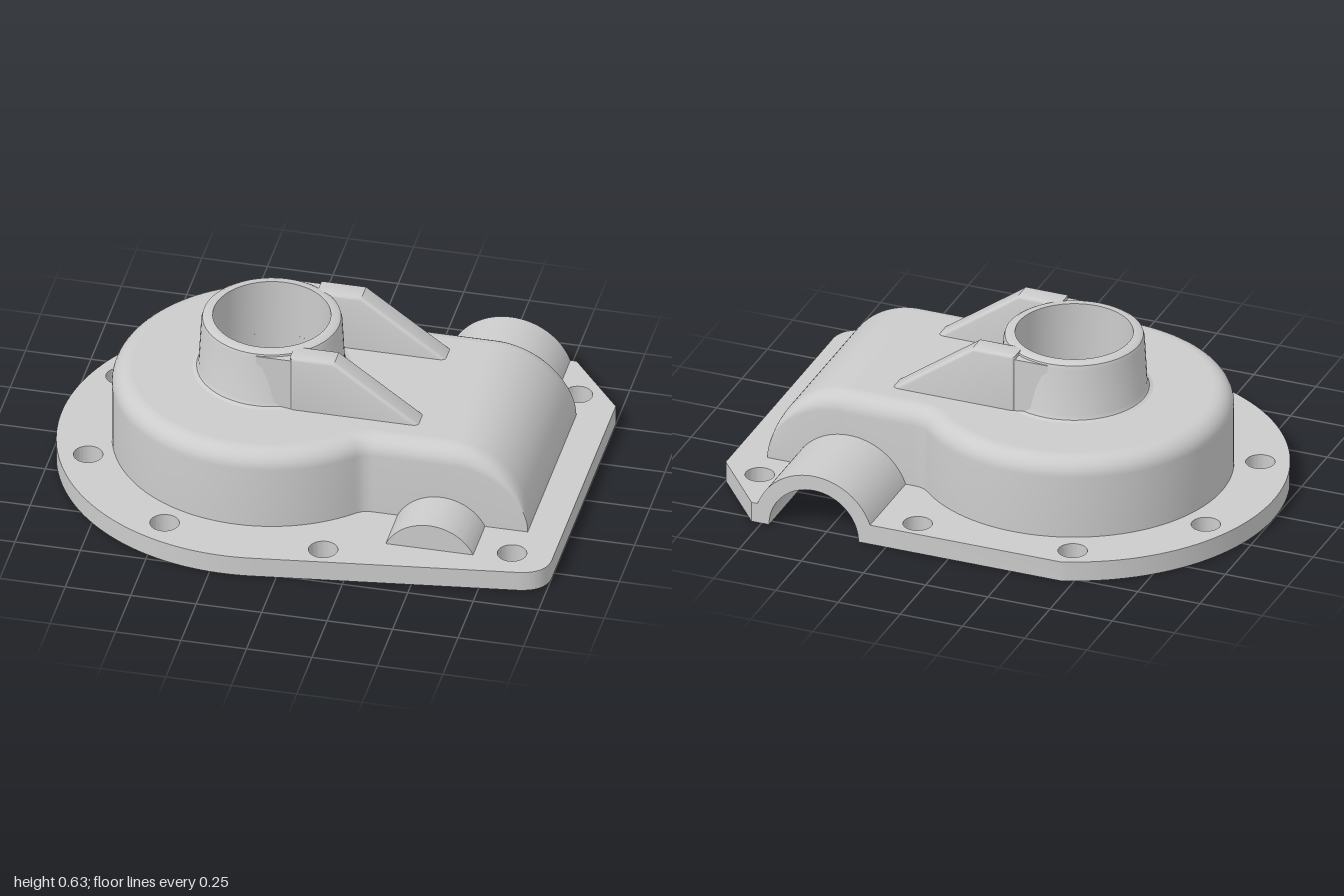
import * as THREE from 'three';
import { toCreasedNormals } from 'three/addons/utils/BufferGeometryUtils.js';

const CX = -0.2, CZ = -0.03;          // centre of the round chamber
const R = 0.595, HALF = 0.4, NECK = 0.08; // chamber radius, gear box half width, neck fillet
const END = 0.57, ENDR = 0.3;         // where the gear box starts to curve down
const WALL = 0.07, TOP = 0.4, BASE = 0.08, BORE = 0.22;
const SHAFT = 0.54, BACK_BORE = 0.18, FRONT_BORE = 0.12;

const mat = new THREE.MeshStandardMaterial({ color: 0xcccccc });
const shellMat = new THREE.MeshStandardMaterial({ color: 0xcccccc, side: THREE.DoubleSide });

function add(group, name, geo, material = mat) {
  const mesh = new THREE.Mesh(toCreasedNormals(geo, 0.6), material);
  mesh.name = name;
  group.add(mesh);
  return mesh;
}

// Plan outline of the housing (x, z), inset by d, from the front of the
// gear box round the chamber to the back of the gear box.
function outline(d) {
  const u = Math.sqrt((R + NECK) ** 2 - (HALF + NECK) ** 2), v = HALF + NECK;
  const phi = Math.atan2(v, u);
  const half = [];
  for (let i = 0; i < 24; i++) half.push([END - CX + (u - END + CX) * i / 24, HALF - d]);
  for (let i = 0; i < 10; i++) {
    const a = 1.5 * Math.PI + (phi - Math.PI / 2) * i / 10;
    half.push([u + (NECK + d) * Math.cos(a), v + (NECK + d) * Math.sin(a)]);
  }
  for (let i = 0; i < 40; i++) {
    const a = phi + (Math.PI - phi) * i / 40;
    half.push([(R - d) * Math.cos(a), (R - d) * Math.sin(a)]);
  }
  const other = half.map(([x, z]) => [x, -z]).reverse();
  return [...half, [d - R, 0], ...other].map(([x, z]) => new THREE.Vector2(CX + x, CZ + z));
}

// Height of the shaft bore where it passes through a housing wall
function arch(x, z) {
  const r = z > CZ ? FRONT_BORE : BACK_BORE;
  return Math.sqrt(Math.max(0, r * r - (x - SHAFT) ** 2));
}

// Surface through a grid of points
function grid(rows, flip) {
  const n = rows[0].length, index = [];
  for (let i = 0; i < rows.length - 1; i++) {
    for (let j = 0; j < n - 1; j++) {
      const a = i * n + j, b = a + n, c = b + 1, d = a + 1;
      index.push(...(flip ? [a, c, b, a, d, c] : [a, b, c, a, c, d]));
    }
  }
  const geo = new THREE.BufferGeometry().setFromPoints(rows.flat());
  geo.setIndex(index);
  return geo;
}

// Side wall and curved end of the housing from a profile of [inset, height]
function shell(group, name, profile, base, endRadius, flip) {
  const low = (i, x, y, z) => new THREE.Vector3(x, i === 0 ? Math.max(y, arch(x, z)) : y, z);
  const wall = profile.map(([d, y], i) => outline(d).map(p => low(i, p.x, y, p.y)));
  add(group, name + 'Wall', grid(wall, flip), shellMat);
  const end = [];
  for (let k = 0; k <= 28; k++) {
    const a = k / 28 * Math.PI / 2, x = END + endRadius * Math.sin(a);
    const side = s => profile.map(([d, y], i) =>
      low(i, x, base + (y - base) * Math.cos(a), CZ + s * (HALF - d)));
    end.push([...side(1), ...side(-1).reverse()]);
  }
  add(group, name + 'CurvedEnd', grid(end, flip), shellMat);
}

// Flat plate from a plan shape
function plate(shape, y0, y1) {
  return new THREE.ExtrudeGeometry(shape, { depth: y1 - y0, bevelEnabled: false, curveSegments: 40 })
    .rotateX(Math.PI / 2).translate(0, y1, 0);
}

function hole(x, z, r) {
  return new THREE.Path().absarc(x, z, r, 0, Math.PI * 2, true);
}

function halfRing(outer, inner, z0, z1) {
  const s = new THREE.Shape().absarc(0, 0, outer, 0, Math.PI, false);
  if (inner) s.lineTo(-inner, 0).absarc(0, 0, inner, Math.PI, 0, true);
  s.closePath();
  return new THREE.ExtrudeGeometry(s, { depth: z1 - z0, bevelEnabled: false, curveSegments: 32 })
    .translate(SHAFT, 0, z0);
}

export function createModel() {
  const group = new THREE.Group();
  group.name = 'gearHousingCover';

  // Flange: outer edge, shaft slot, cavity edge and shaft pocket in one contour
  const zf = CZ + HALF - WALL, zb = CZ - HALF + WALL, xe = END + ENDR - WALL;
  const flange = new THREE.Shape();
  flange.absarc(-0.2, -0.02, 0.8, 1.436, 4.395, false);
  flange.lineTo(SHAFT - 0.2, -0.78);
  flange.lineTo(SHAFT - 0.2, zb);
  outline(WALL).reverse().filter(p => p.x < SHAFT - 0.21).forEach(p => flange.lineTo(p.x, p.y));
  [[0.4, zf], [0.4, 0.5], [0.68, 0.5], [0.68, zf], [xe, zf], [xe, zb],
    [0.74, zb], [0.74, -0.78], [0.79, -0.78], [1, -0.52], [1, 0.53]]
    .forEach(([x, z]) => flange.lineTo(x, z));
  flange.quadraticCurveTo(1, 0.627, 0.89, 0.642);
  flange.closePath();
  [[-0.46, -0.68], [0.155, -0.7], [0.845, -0.565], [-0.84, -0.3],
    [-0.84, 0.235], [-0.46, 0.615], [0.155, 0.655], [0.845, 0.52]]
    .forEach(([x, z]) => flange.holes.push(hole(x, z, 0.055)));
  add(group, 'flange', plate(flange, 0, BASE));

  // Housing: outer skin with rounded top edge, inner skin, and roof plate
  const outer = [[0, BASE]];
  for (let i = 0; i <= 8; i++) {
    const a = i / 8 * Math.PI / 2;
    outer.push([WALL * (1 - Math.cos(a)), TOP - WALL + WALL * Math.sin(a)]);
  }
  shell(group, 'outer', outer, BASE, ENDR, false);
  shell(group, 'inner', [[WALL, 0], [WALL, TOP - WALL]], 0, ENDR - WALL, true);
  const roof = new THREE.Shape(outline(WALL));
  roof.holes.push(hole(CX, CZ, BORE));
  add(group, 'roof', plate(roof, TOP - WALL, TOP));

  // Bearing collar round the bore
  const collar = [[0.295, 0.4], [0.28, 0.405], [0.273, 0.42], [0.263, 0.605], [0.258, 0.622],
    [0.245, 0.63], [BORE, 0.63], [BORE, TOP - WALL]].map(p => new THREE.Vector2(...p));
  add(group, 'collar', new THREE.LatheGeometry(collar.reverse(), 72).scale(1, 1, 1), shellMat)
    .position.set(CX, 0, CZ);

  // Two sloping ribs running from the collar to the gear box
  const rib = (x0, v0, v1, b) => {
    const s = new THREE.Shape();
    s.moveTo(x0, 0.35).lineTo(0.47, 0.35).lineTo(0.42, 0.4).lineTo(0.1, 0.63).lineTo(x0, 0.63);
    s.closePath();
    return new THREE.ExtrudeGeometry(s, {
      depth: v1 - v0 - 2 * b, bevelThickness: b, bevelSize: b, bevelOffset: -b, bevelSegments: 3,
    }).translate(0, 0, v0 + b);
  };
  for (const side of [1, -1]) {
    const name = side > 0 ? 'frontRib' : 'backRib';
    const z0 = side > 0 ? CZ + 0.18 : CZ - 0.268;
    add(group, name, rib(-0.07, z0, z0 + 0.088, 0.014));
    const fill = new THREE.BoxGeometry(0.2, 0.26, 0.038).translate(-0.1, 0.485, CZ + side * 0.245);
    add(group, name + 'Root', fill);
  }

  // Half-round shaft housings: open at the back, closed at the front
  add(group, 'backShaftHousing', halfRing(0.24, BACK_BORE, -0.78, zb));
  add(group, 'frontShaftHousing', halfRing(0.185, FRONT_BORE, zf, 0.5));
  add(group, 'frontShaftCap', halfRing(0.185, 0, 0.5, 0.565));
  return group;
}
